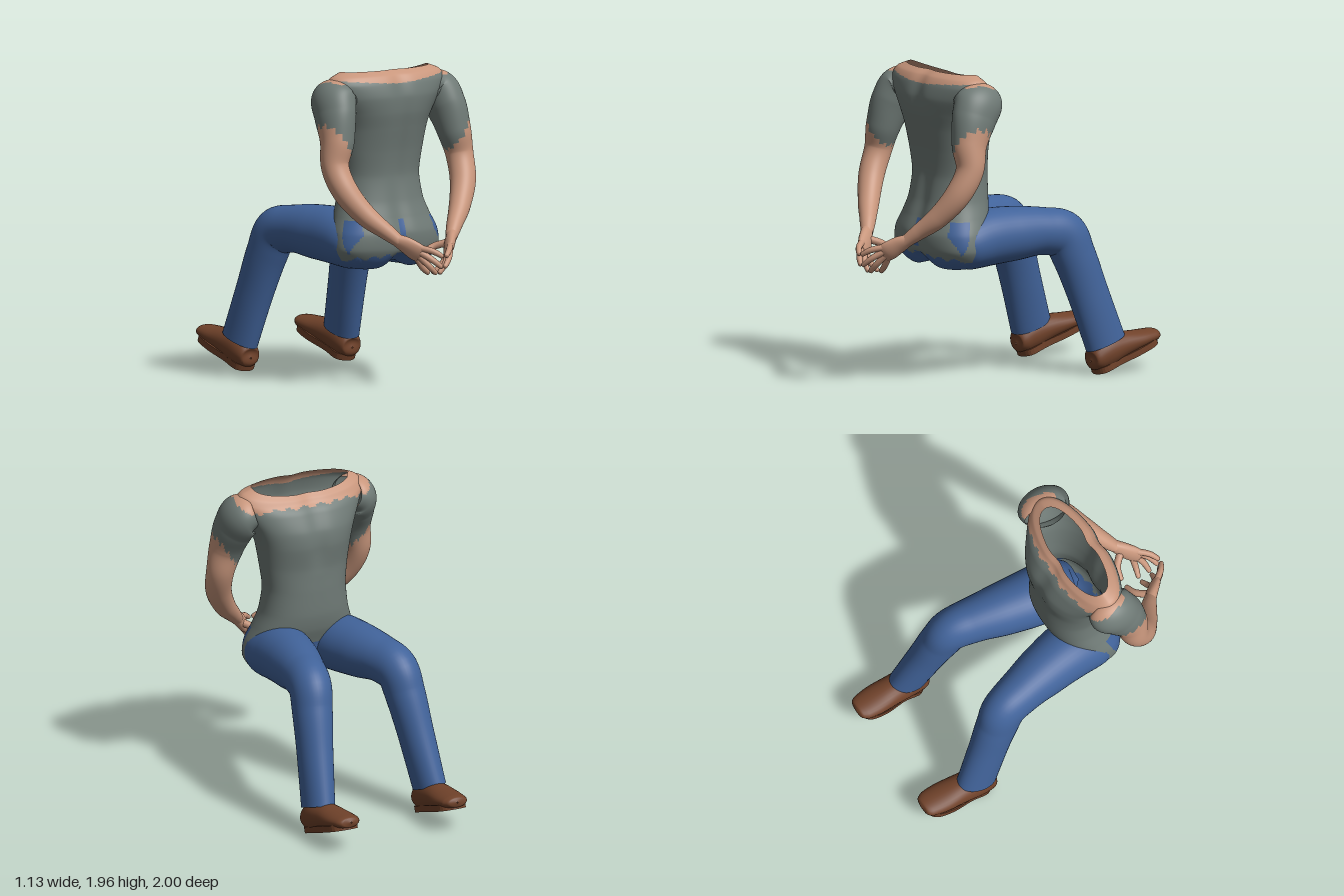
import * as THREE from 'three';

const mat = (name, color) => {
  const m = new THREE.MeshStandardMaterial({ color, side: THREE.DoubleSide });
  m.name = name;
  return m;
};

// Closed-ring surface from point(angle, t); pick(point, angle) gives the material index
// of each face. side = -1 mirrors the part across x = 0.
function loft(name, mats, nu, nv, point, pick = () => 0, side = 1) {
  const pos = [], pts = [], lists = mats.map(() => []);
  for (let i = 0; i <= nv; i++) {
    for (let j = 0; j < nu; j++) {
      const p = point((j / nu) * Math.PI * 2, i / nv);
      pts.push(p);
      pos.push(p.x * side, p.y, p.z);
    }
  }
  for (let i = 0; i < nv; i++) {
    for (let j = 0; j < nu; j++) {
      const k = (j + 1) % nu;
      const a = i * nu + j, b = i * nu + k, c = a + nu, d = b + nu;
      const mid = pts[a].clone().add(pts[d]).multiplyScalar(0.5);
      const list = lists[pick(mid, ((j + 0.5) / nu) * Math.PI * 2)];
      if (side > 0) list.push(a, b, d, a, d, c);
      else list.push(a, d, b, a, c, d);
    }
  }
  const g = new THREE.BufferGeometry();
  g.setAttribute('position', new THREE.Float32BufferAttribute(pos, 3));
  g.setIndex(lists.flat());
  let start = 0;
  lists.forEach((l, i) => { g.addGroup(start, l.length, i); start += l.length; });
  g.computeVertexNormals();
  const mesh = new THREE.Mesh(g, mats);
  mesh.name = name;
  return mesh;
}

// Limb surface through rings [x, y, z, radiusAlongRef, otherRadius]
function limb(rings, ref) {
  const path = new THREE.CatmullRomCurve3(rings.map(r => new THREE.Vector3(r[0], r[1], r[2])));
  const size = new THREE.CatmullRomCurve3(rings.map(r => new THREE.Vector3(r[3], r[4] ?? r[3], 0)), false, 'catmullrom', 0.4);
  return (a, t) => {
    const T = path.getTangent(t), r = size.getPoint(t);
    const N = ref.clone().addScaledVector(T, -ref.dot(T)).normalize();
    const B = T.clone().cross(N);
    return path.getPoint(t).addScaledVector(N, r.x * Math.cos(a)).addScaledVector(B, r.y * Math.sin(a));
  };
}

// Torso rings: height, half width, back z, chest z
const TORSO = [
  [0.735, 0.01, 0.37, 0.35], [0.725, 0.22, 0.47, 0.24], [0.77, 0.32, 0.53, 0.2], [0.85, 0.372, 0.572, 0.18],
  [0.95, 0.362, 0.578, 0.16], [1.05, 0.322, 0.548, 0.125], [1.15, 0.287, 0.52, 0.108], [1.3, 0.268, 0.5, 0.106],
  [1.45, 0.285, 0.515, 0.108], [1.6, 0.31, 0.545, 0.09], [1.7, 0.345, 0.565, 0.1], [1.8, 0.4, 0.57, 0.145],
  [1.88, 0.43, 0.55, 0.19], [1.93, 0.4, 0.52, 0.212], [1.96, 0.33, 0.475, 0.24],
];
const torsoA = new THREE.CatmullRomCurve3(TORSO.map(r => new THREE.Vector3(r[0], r[1], 0)), false, 'catmullrom', 0.4);
const torsoB = new THREE.CatmullRomCurve3(TORSO.map(r => new THREE.Vector3(r[2], r[3], 0)), false, 'catmullrom', 0.4);

function torsoPoint(a, t) {
  const A = torsoA.getPoint(t), B = torsoB.getPoint(t);
  const c = Math.cos(a), s = Math.sin(a), mid = (B.x + B.y) / 2, half = (B.x - B.y) / 2;
  const x = A.y * Math.sign(c) * Math.abs(c) ** 0.9;
  let z = mid - half * Math.sign(s) * Math.abs(s) ** 0.9;
  const ridge = Math.exp(-((x / 0.06) ** 2));
  if (s < 0) z -= 0.018 * ridge;                                   // spine groove
  else z += 0.015 * ridge * THREE.MathUtils.smoothstep(A.x, 1.4, 1.6);
  let y = A.x - 0.05 * Math.max(0, s) * THREE.MathUtils.smoothstep(A.x, 1.8, 1.95);
  y += 0.05 * Math.exp(-((x / 0.08) ** 2)) * (1 - THREE.MathUtils.smoothstep(A.x, 0.74, 0.85));
  return new THREE.Vector3(x, y, z);
}

// 0 shirt, 1 jeans, 2 skin
function torsoColour(p, a) {
  const x = Math.abs(p.x), y = p.y, back = p.z > 0.37, front = Math.max(0, Math.sin(a));
  const collar = back ? 1.88 + 0.03 * x / 0.35
    : 1.875 - 0.03 * front - 0.03 * THREE.MathUtils.smoothstep(x, 0.25, 0.36) + 0.008 * Math.sin(a * 27);
  if (y > collar) return 2;
  if (y < (back ? 0.82 - 0.1 * Math.max(0, x - 0.1) + 0.012 * Math.sin(x * 70) : 0.96)) return 1;
  if (!back) return 0;
  // Centre gap and the two side gaps where the jeans show through
  if (x < 0.032 * (1 - Math.abs(y - 0.95) / 0.13)) return 1;
  const low = 0.45 - 0.07 * (y - 0.85) / 0.19;
  const high = y < 0.95 ? 0.47 + 0.05 * (y - 0.85) / 0.1 : 0.52 - 0.035 * (y - 0.95) / 0.09;
  if (x > 0.2 && y > 0.835 && y < 1.04 && p.z > low && p.z < high) return 1;
  return 0;
}

export function createModel() {
  const shirt = mat('grey shirt', 0x6f7a76), skin = mat('skin', 0xc8967c);
  const jeans = mat('blue jeans', 0x41639a), leather = mat('brown leather', 0x70422a);
  const model = new THREE.Group();
  const X = new THREE.Vector3(1, 0, 0), Z = new THREE.Vector3(0, 0, 1);
  const palmRef = new THREE.Vector3(0, 0.87, 0.5);

  model.add(loft('torso', [shirt, jeans, skin], 140, 150, torsoPoint, torsoColour));

  const leg = limb([
    [0.17, 0.86, 0.5, 0.005], [0.19, 0.855, 0.45, 0.13, 0.11], [0.2, 0.878, 0.35, 0.18, 0.162],
    [0.205, 0.905, 0.2, 0.185, 0.178], [0.235, 0.915, 0, 0.168, 0.17], [0.275, 0.915, -0.2, 0.143, 0.148],
    [0.305, 0.88, -0.34, 0.13, 0.15], [0.325, 0.75, -0.405, 0.122, 0.14], [0.355, 0.5, -0.495, 0.107, 0.135],
    [0.39, 0.19, -0.6, 0.094, 0.14],
  ], X);
  const arm = limb([
    [0.33, 1.815, 0.355, 0.125, 0.1], [0.39, 1.795, 0.375, 0.155, 0.125], [0.423, 1.7, 0.43, 0.145, 0.118],
    [0.448, 1.55, 0.482, 0.112, 0.104], [0.478, 1.4, 0.5, 0.087], [0.452, 1.25, 0.57, 0.081],
    [0.36, 1.1, 0.66, 0.067], [0.26, 1.0, 0.74, 0.05], [0.2, 0.94, 0.79, 0.038],
  ], Z);
  // Ragged sleeve hem, lower on the inside of the arm; bare skin over the shoulder top
  const sleeve = (p, a) => {
    const saw = 0.05 * ((a * 2.2) % 1);
    const hem = 1.495 + (p.x - 0.45) * 1.4 - (0.48 - p.z) * 0.2 + saw;
    const neck = 1.895 - 0.4 * Math.max(0, 0.38 - p.z) + 0.3 * Math.max(0, p.x - 0.4);
    return p.y > hem && p.y < neck ? 0 : 1;
  };
  const palm = limb([
    [0.22, 0.955, 0.775, 0.038, 0.036], [0.17, 0.92, 0.82, 0.056, 0.034],
    [0.125, 0.88, 0.865, 0.064, 0.03], [0.09, 0.855, 0.895, 0.05, 0.016], [0.083, 0.85, 0.902, 0.002],
  ], palmRef);
  // Base, bend and tip of each finger
  const FINGERS = [
    [[0.115, 0.905, 0.89], [0.06, 0.885, 0.955], [0.008, 0.85, 0.992]],
    [[0.11, 0.875, 0.895], [0.06, 0.83, 0.95], [0.006, 0.78, 0.98]],
    [[0.11, 0.85, 0.88], [0.06, 0.79, 0.91], [0.006, 0.735, 0.92]],
    [[0.115, 0.835, 0.86], [0.07, 0.775, 0.855], [0.01, 0.73, 0.84]],
    [[0.17, 0.91, 0.81], [0.1, 0.88, 0.74], [0.02, 0.84, 0.72]],
  ];
  const shoe = limb([
    [0.39, 0.085, -0.488, 0.005], [0.39, 0.085, -0.494, 0.065, 0.055], [0.39, 0.1, -0.53, 0.083, 0.085],
    [0.39, 0.132, -0.6, 0.092, 0.1], [0.385, 0.165, -0.72, 0.094, 0.082], [0.38, 0.187, -0.85, 0.097, 0.058],
    [0.375, 0.203, -0.95, 0.085, 0.042], [0.372, 0.21, -0.985, 0.06, 0.03], [0.372, 0.212, -0.997, 0.004],
  ], X);

  for (const side of [1, -1]) {
    const tag = side > 0 ? 'left' : 'right';
    model.add(loft(tag + 'Leg', [jeans], 40, 70, leg, undefined, side));
    model.add(loft(tag + 'Arm', [shirt, skin], 64, 110, arm, sleeve, side));

    const hand = new THREE.Group();
    hand.name = tag + 'Hand';
    hand.add(loft('palm', [skin], 20, 20, palm, undefined, side));
    FINGERS.forEach(([b, m, t], i) => {
      const near = t.map((v, k) => v + (m[k] - v) * 0.12);
      const r = i === 4 ? 0.024 : 0.021;
      const f = limb([[...b, r], [...m, r * 0.92], [...near, r * 0.68], [...t, 0.001]], palmRef);
      hand.add(loft(i === 4 ? 'thumb' : 'finger', [skin], 10, 16, f, undefined, side));
    });
    model.add(hand);

    // Shoe: rounded upper on a flat tilted sole
    const foot = new THREE.Group();
    foot.name = tag + 'Shoe';
    foot.add(loft('upper', [leather], 28, 40, shoe, undefined, side));
    const outline = [[0.01, -0.245], [0.075, -0.21], [0.08, -0.08], [0.096, 0.09], [0.075, 0.21],
      [-0.005, 0.253], [-0.08, 0.21], [-0.096, 0.09], [-0.07, -0.08], [-0.065, -0.21]];
    const curve = new THREE.CatmullRomCurve3(outline.map(([x, l]) => new THREE.Vector3(x * side, l, 0)), true);
    const shape = new THREE.Shape(curve.getPoints(48).map(p => new THREE.Vector2(p.x, p.y)));
    const soleGeo = new THREE.ExtrudeGeometry(shape, { depth: 0.04, bevelEnabled: false });
    soleGeo.applyMatrix4(new THREE.Matrix4().makeBasis(X,
      new THREE.Vector3(0, 0.33, -0.944), new THREE.Vector3(0, 0.944, 0.33)));
    soleGeo.translate(0.382 * side, 0.082, -0.75);
    const sole = new THREE.Mesh(soleGeo, leather);
    sole.name = 'sole';
    foot.add(sole);
    model.add(foot);
  }
  return model;
}
